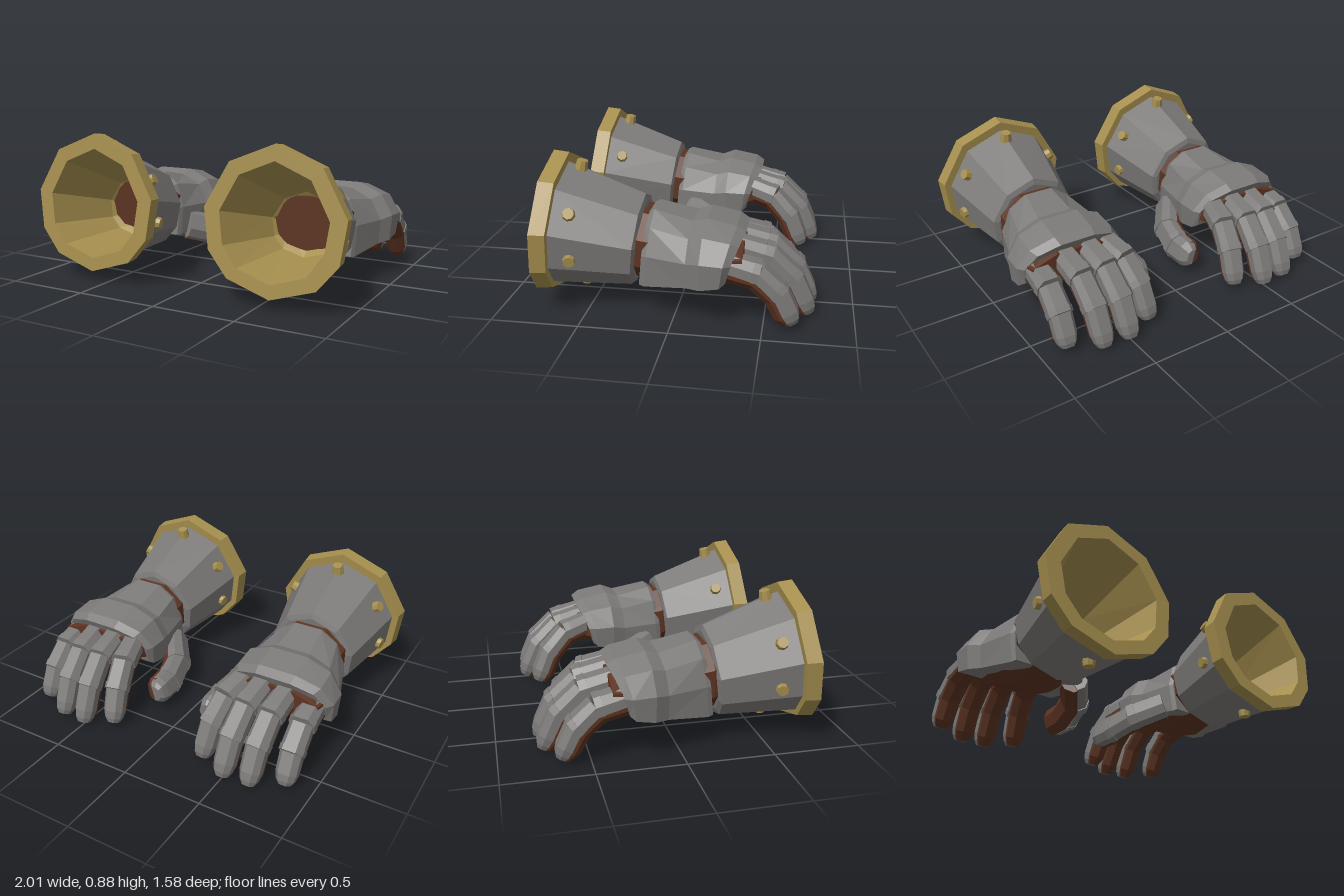
import * as THREE from 'three';

const V = (x, y, z) => new THREE.Vector3(x, y, z);

// Skin a stack of cross-section rings into a closed solid
function loft(rings) {
  const pos = [];
  const tri = (...p) => p.forEach(v => pos.push(v.x, v.y, v.z));
  const n = rings[0].length;
  for (let i = 0; i + 1 < rings.length; i++) {
    for (let j = 0; j < n; j++) {
      const k = (j + 1) % n, [a, b] = [rings[i], rings[i + 1]];
      tri(a[j], a[k], b[k]);
      tri(a[j], b[k], b[j]);
    }
  }
  const cap = (ring, flip) => {
    const c = ring.reduce((s, p) => s.add(p), V(0, 0, 0)).divideScalar(n);
    ring.forEach((p, j) => {
      const q = ring[(j + 1) % n];
      flip ? tri(c, q, p) : tri(c, p, q);
    });
  };
  cap(rings[0], true);
  cap(rings[rings.length - 1], false);
  return new THREE.BufferGeometry().setAttribute('position', new THREE.Float32BufferAttribute(pos, 3));
}

// Mirror if asked, then make faces point outward and shade them flat
function finish(geo, side) {
  const g = geo.index ? geo.toNonIndexed() : geo;
  g.scale(side, 1, 1);
  const p = g.attributes.position;
  const [a, b, c] = [V(), V(), V()];
  let volume = 0;
  for (let i = 0; i < p.count; i += 3) {
    a.fromBufferAttribute(p, i); b.fromBufferAttribute(p, i + 1); c.fromBufferAttribute(p, i + 2);
    volume += a.dot(b.clone().cross(c));
  }
  if (volume < 0) {
    for (let i = 0; i < p.count; i += 3) {
      b.fromBufferAttribute(p, i + 1); c.fromBufferAttribute(p, i + 2);
      p.setXYZ(i + 1, c.x, c.y, c.z);
      p.setXYZ(i + 2, b.x, b.y, b.z);
    }
  }
  g.computeVertexNormals();
  return g;
}

// Unit cross-sections
const half = [[0, 1], [0.65, 0.74], [1, 0.12], [0.92, -0.45], [0.63, -0.8], [0, -1]];
const CUFF = [...half, ...half.slice(1, 5).reverse().map(([u, v]) => [-u, v])];
const OCT = [[-0.45, 1], [0.45, 1], [1, 0.4], [1, -0.4], [0.45, -1], [-0.45, -1], [-1, -0.4], [-1, 0.4]];
const ARCH = [[-0.96, 0], [-1, 0.45], [-0.78, 0.82], [-0.35, 1], [0.35, 1], [0.78, 0.82], [1, 0.45], [0.96, 0]];
const PLATE = [[-1, -0.35], [-1, 0.4], [-0.55, 1], [0.55, 1], [1, 0.4], [1, -0.35]];

const CX = 0.59;

// Slanted ring of the cuff: half width, half height, centre height, depth, slant
const cuffRing = ([hx, hy, cy, z, tilt]) =>
  CUFF.map(([u, v]) => V(CX + u * hx, cy + v * hy, z - v * hy * tilt));

// Ring across a digit, in the frame given by its direction and back side
function digitRing(section, p, d, up, w, h, drop = 0) {
  const n = up.clone().addScaledVector(d, -d.dot(up)).normalize();
  const s = n.clone().cross(d);
  return section.map(([u, v]) => p.clone().addScaledVector(s, u * w).addScaledVector(n, v * h - drop));
}

export function createModel() {
  const mat = (name, color) => {
    const m = new THREE.MeshStandardMaterial({ color });
    m.name = name;
    return m;
  };
  const steel = mat('steel', 0x7c7a78);
  const brass = mat('brass', 0xa68f4e);
  const leather = mat('leather', 0x5c3321);

  function gauntlet(side, name) {
    const group = new THREE.Group();
    group.name = name;
    const add = (partName, geo, material, parent = group) => {
      const m = new THREE.Mesh(finish(geo, side), material);
      m.name = partName;
      parent.add(m);
    };

    // Flared hollow cuff, its inner wall buried behind the lining
    add('cuff', loft([
      [0.2, 0.18, 0.38, 0.237, 0.1],
      [0.35, 0.345, 0.472, 0.68, 0.08],
      [0.365, 0.36, 0.472, 0.68, 0.08],
      [0.27, 0.27, 0.387, 0.225, 0.12],
      [0.24, 0.235, 0.387, 0.212, 0.12],
    ].map(cuffRing)), steel);

    // Rim and hollow lining in one piece
    add('rimAndLining', loft([
      [0.18, 0.15, 0.375, 0.225, 0.1],
      [0.235, 0.235, 0.39, 0.25, 0.1],
      [0.34, 0.33, 0.47, 0.665, 0.08],
      [0.405, 0.402, 0.48, 0.662, 0.08],
      [0.415, 0.41, 0.482, 0.752, 0.08],
      [0.32, 0.325, 0.477, 0.752, 0.08],
      [0.21, 0.19, 0.39, 0.32, 0.1],
      [0.165, 0.105, 0.37, 0.25, 0.1],
    ].map(cuffRing)), brass);

    // Rivets: offset from the cuff centre line, height, outward direction
    const rivets = [[0, 0.807, 0, 1], [0, 0.118, 0, -1]];
    for (const s of [-1, 1]) rivets.push([0.28 * s, 0.61, 0.87 * s, 0.49], [0.315 * s, 0.36, s, -0.14]);
    for (const [x, y, nx, ny] of rivets) {
      const dir = V(nx, ny, ny < -0.5 ? 0 : -0.22).normalize();
      const g = new THREE.CylinderGeometry(0.032, 0.042, 0.064, 8);
      g.applyQuaternion(new THREE.Quaternion().setFromUnitVectors(V(0, 1, 0), dir));
      g.translate(CX + x, y, 0.56);
      add('rivet', g, brass);
    }

    // Leather hand: depth, centre x, half width, bottom, top
    add('leatherPalm', loft([
      [0.3, 0.59, 0.2, 0.21, 0.55],
      [0.2, 0.595, 0.225, 0.185, 0.58],
      [0.12, 0.595, 0.22, 0.175, 0.565],
      [0, 0.595, 0.25, 0.158, 0.5],
      [-0.15, 0.605, 0.3, 0.2, 0.5],
      [-0.3, 0.615, 0.3, 0.25, 0.48],
      [-0.385, 0.62, 0.28, 0.3, 0.46],
    ].map(([z, cx, hx, y0, y1]) =>
      OCT.map(([u, v]) => V(cx + u * hx, (y0 + y1) / 2 + v * (y1 - y0) / 2, z)))), leather);

    // Back-of-hand plate: depth, centre x, half width, bottom, top, slant, bow
    add('handPlate', loft([
      [0.153, 0.595, 0.235, 0.2, 0.585, 0.04, 0],
      [0.125, 0.595, 0.247, 0.195, 0.6, 0.04, 0],
      [-0.1, 0.605, 0.3, 0.23, 0.552, 0, 0.02],
      [-0.18, 0.615, 0.335, 0.24, 0.579, 0, 0.02],
      [-0.345, 0.618, 0.338, 0.26, 0.547, 0.05, 0.03],
      [-0.395, 0.615, 0.31, 0.28, 0.515, 0.07, 0.03],
    ].map(([z, cx, hx, y0, y1, slant, bow]) =>
      ARCH.map(([u, v]) => V(cx + u * hx, y0 + v * (y1 - y0), z + slant * (1 - v) + bow * u * u)))), steel);

    // Digit: one leather core with overlapping plates along its back
    function digit(digitName, path, up, w, h, drop, shrink) {
      const part = new THREE.Group();
      part.name = digitName;
      group.add(part);
      const last = path.length - 1;
      const tip = path[last].clone().sub(path[last - 1]);
      const tipDir = tip.clone().normalize();
      const core = path.slice(0, last).map((p, i) => {
        const d = path[i + 1].clone().sub(path[Math.max(i - 1, 0)]).normalize();
        const k = 0.95 - shrink * i;
        return digitRing(OCT, p, d, up, w * k, h * k, drop);
      });
      for (const [t, k] of [[0.72, 0.95 - shrink * last], [1, 0.52]]) {
        core.push(digitRing(OCT, path[last - 1].clone().addScaledVector(tip, t), tipDir, up, w * k, h * k, drop * k));
      }
      add(digitName + 'Leather', loft(core), leather, part);
      for (let i = 0; i < last; i++) {
        const d = path[i + 1].clone().sub(path[i]);
        const taper = 1 - shrink * i;
        const stages = i === last - 1
          ? [[-0.05, 0.98], [0.65, 0.95], [0.88, 0.8], [1.02, 0.55]]
          : [[-0.05, 0.96], [0.82, 1], [0.82, 1.06], [1.05, 1.04]];
        add(digitName + 'Plate', loft(stages.map(([t, k]) => digitRing(PLATE,
          path[i].clone().addScaledVector(d, t), d.clone().normalize(), up,
          w * k * taper, h * k * taper))), steel, part);
      }
    }

    // Fingers: base x, tip x, base z, tip z, base y, tip y
    const fingers = {
      indexFinger: [0.405, 0.325, -0.32, -0.675, 0.405, 0.045],
      middleFinger: [0.535, 0.5, -0.33, -0.752, 0.42, 0.03],
      ringFinger: [0.685, 0.663, -0.33, -0.742, 0.41, 0.03],
      littleFinger: [0.845, 0.848, -0.3, -0.658, 0.365, 0.05],
    };
    for (const [n, [x0, x1, z0, z1, y0, y1]] of Object.entries(fingers)) {
      const path = [[0, 0], [0.46, 0.14], [0.78, 0.48], [1, 1]].map(([t, f]) =>
        V(x0 + (x1 - x0) * t, y0 + (y1 - y0) * f, z0 + (z1 - z0) * t));
      digit(n, path, V(0, 1, -0.2), 0.074, 0.073, 0.022, 0.05);
    }

    // Thumb, its plates facing the inner side
    digit('thumb', [V(0.35, 0.25, 0.08), V(0.225, 0.19, -0.09), V(0.19, 0.15, -0.25), V(0.188, 0.145, -0.415)],
      V(-1, 0.25, 0), 0.094, 0.066, 0.022, 0.02);
    return group;
  }

  const model = new THREE.Group();
  model.name = 'gauntlets';
  model.add(gauntlet(1, 'leftGauntlet'), gauntlet(-1, 'rightGauntlet'));

  // Rest the pair on the ground
  const box = new THREE.Box3().setFromObject(model);
  model.position.y = -box.min.y;
  return model;
}
